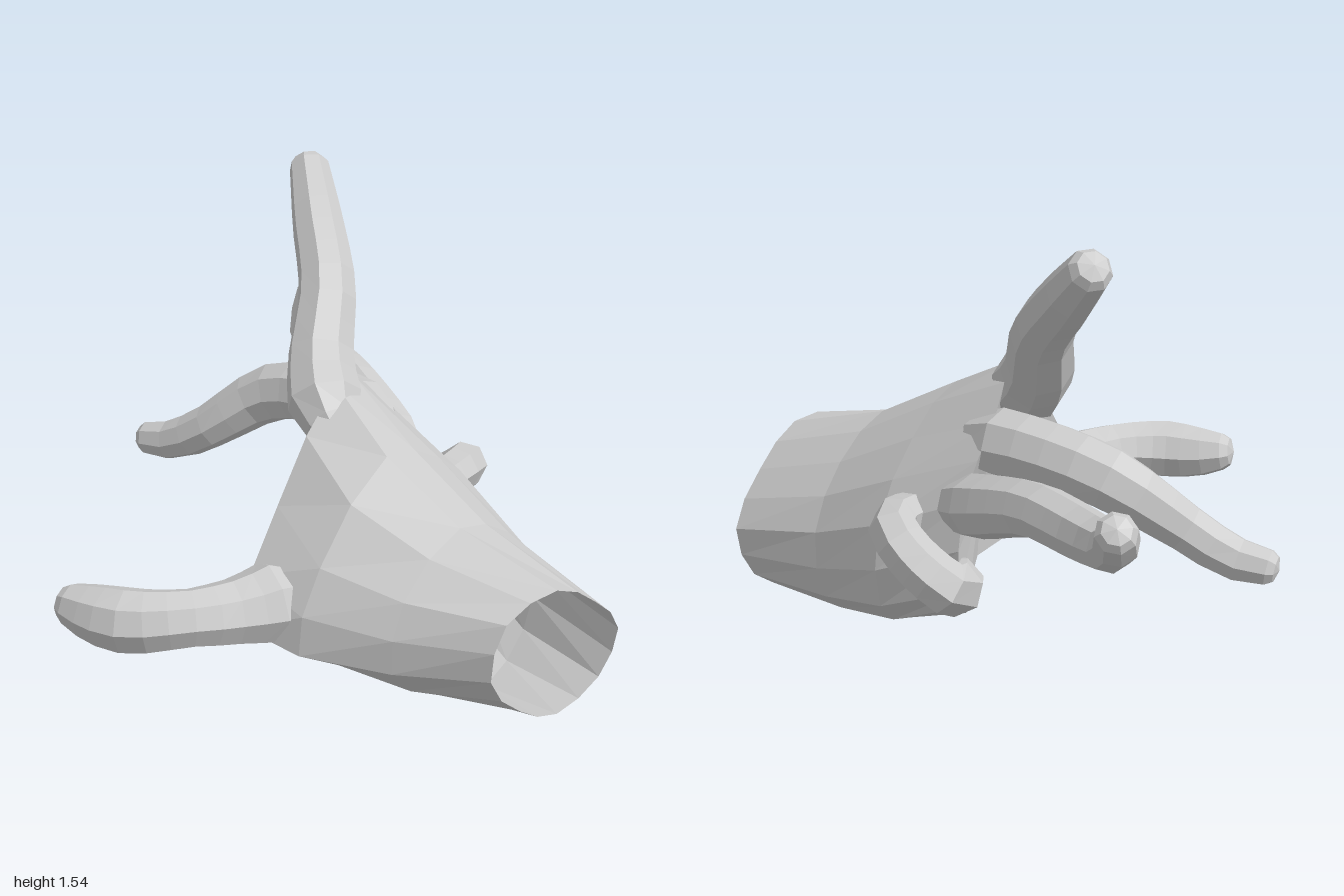
import * as THREE from 'three';

const V = (p) => new THREE.Vector3(p[0], p[1], p[2]);
const material = new THREE.MeshStandardMaterial({ color: 0xcccccc, flatShading: true, side: THREE.DoubleSide });

// Skin a list of closed rings (arrays of Vector3 of equal length)
function loft(name, rings) {
  const n = rings[0].length;
  const positions = [];
  const index = [];
  rings.forEach((ring) => ring.forEach((p) => positions.push(p.x, p.y, p.z)));
  for (let i = 0; i < rings.length - 1; i++) {
    for (let j = 0; j < n; j++) {
      const a = i * n + j, b = i * n + ((j + 1) % n);
      index.push(a, b, a + n, b, b + n, a + n);
    }
  }
  const geometry = new THREE.BufferGeometry();
  geometry.setAttribute('position', new THREE.Float32BufferAttribute(positions, 3));
  geometry.setIndex(index);
  geometry.computeVertexNormals();
  const mesh = new THREE.Mesh(geometry, material);
  mesh.name = name;
  return mesh;
}

// Finger: each joint is [x, y, z, radius]; the tip is rounded off
function finger(name, joints, sides = 8, steps = 12) {
  const curve = new THREE.CatmullRomCurve3(joints.map(V), false, 'centripetal');
  const frames = curve.computeFrenetFrames(steps);
  const ringAt = (center, k, r) => Array.from({ length: sides }, (_, j) => {
    const a = (j / sides) * Math.PI * 2;
    return center.clone()
      .addScaledVector(frames.normals[k], Math.cos(a) * r)
      .addScaledVector(frames.binormals[k], Math.sin(a) * r);
  });
  const rings = [];
  const last = joints.length - 1;
  for (let k = 0; k <= steps; k++) {
    // Radius follows the arc length between joints
    const u = k / steps;
    const t = curve.getUtoTmapping(u) * last;
    const i = Math.min(Math.floor(t), last - 1);
    const r = THREE.MathUtils.lerp(joints[i][3], joints[i + 1][3], t - i);
    rings.push(ringAt(curve.getPointAt(u), k, r));
  }
  const r = joints[last][3];
  const tip = curve.getPointAt(1);
  const dir = frames.tangents[steps];
  [[0.4, 0.72], [0.6, 0]].forEach(([ahead, s]) => {
    rings.push(ringAt(tip.clone().addScaledVector(dir, r * ahead), steps, r * s));
  });
  return loft(name, rings);
}

// Eight guide points per section, smoothed into a closed ring
function section(points, count = 16) {
  const curve = new THREE.CatmullRomCurve3(points.map(V), true);
  return Array.from({ length: count }, (_, j) => curve.getPoint(j / count));
}

export function createModel() {
  const hand = new THREE.Group();
  hand.name = 'hand';

  // Palm and open wrist: sections from the wrist to the knuckles
  const sections = [
    [[-0.1, 0.57, 0.97], [0.1, 0.45, 0.99], [0.26, 0.28, 0.99], [0.22, 0.1, 0.95],
      [0.05, 0.02, 0.9], [-0.16, 0.13, 0.89], [-0.35, 0.33, 0.9], [-0.32, 0.53, 0.93]],
    [[-0.1, 0.67, 0.6], [0.15, 0.56, 0.62], [0.32, 0.36, 0.62], [0.3, 0.12, 0.6],
      [0.08, 0, 0.6], [-0.2, 0.1, 0.6], [-0.46, 0.3, 0.6], [-0.4, 0.53, 0.6]],
    [[-0.09, 0.83, 0.3], [0.2, 0.72, 0.3], [0.43, 0.49, 0.3], [0.43, 0.2, 0.3],
      [0.2, 0.06, 0.32], [-0.12, 0.12, 0.34], [-0.55, 0.3, 0.3], [-0.44, 0.57, 0.3]],
    [[0, 0.98, 0.02], [0.28, 0.86, -0.05], [0.43, 0.63, -0.02], [0.48, 0.34, -0.03],
      [0.38, 0.22, 0], [0.05, 0.27, 0.14], [-0.56, 0.33, 0.07], [-0.32, 0.66, 0.03]],
  ].map((s) => section(s));
  // Hollow of the palm closes towards its middle
  const edge = sections[3];
  const hollow = new THREE.Vector3(0.04, 0.5, 0.13);
  [0.5, 1].forEach((t) => sections.push(edge.map((p) => p.clone().lerp(hollow, t))));
  hand.add(loft('palm', sections));

  hand.add(finger('thumb', [
    [-0.36, 0.43, 0.2, 0.07], [-0.47, 0.41, 0.14, 0.14], [-0.6, 0.41, 0.08, 0.11],
    [-0.74, 0.42, 0, 0.095], [-0.85, 0.41, -0.14, 0.11], [-0.88, 0.41, -0.26, 0.1],
    [-0.9, 0.42, -0.36, 0.07],
  ]));
  hand.add(finger('indexFinger', [
    [-0.06, 0.8, 0.1, 0.05], [0, 0.89, -0.02, 0.13], [0.1, 1, -0.12, 0.115],
    [0.25, 1.18, -0.21, 0.1], [0.4, 1.35, -0.37, 0.09], [0.53, 1.49, -0.51, 0.07],
  ]));
  hand.add(finger('middleFinger', [
    [0.16, 0.72, 0.1, 0.05], [0.22, 0.77, -0.02, 0.12], [0.26, 0.78, -0.22, 0.11],
    [0.26, 0.73, -0.46, 0.105], [0.16, 0.57, -0.68, 0.08], [0.13, 0.49, -0.82, 0.075],
    [0.11, 0.47, -0.94, 0.06],
  ]));
  hand.add(finger('ringFinger', [
    [0.32, 0.57, 0.1, 0.05], [0.38, 0.6, -0.01, 0.11], [0.44, 0.64, -0.12, 0.105],
    [0.55, 0.71, -0.34, 0.09], [0.67, 0.72, -0.56, 0.085], [0.79, 0.75, -0.72, 0.075],
    [0.9, 0.85, -0.78, 0.065],
  ]));
  // Little finger curls over, its tip passing through to the palm
  hand.add(finger('littleFinger', [
    [0.36, 0.36, 0.08, 0.05], [0.45, 0.35, 0, 0.1], [0.53, 0.37, -0.02, 0.09],
    [0.55, 0.46, 0.1, 0.085], [0.52, 0.54, 0.19, 0.08], [0.4, 0.54, 0.2, 0.075],
    [0.25, 0.52, 0.18, 0.05], [0.06, 0.47, 0.12, 0.04],
  ], 7, 18));

  return hand;
}
